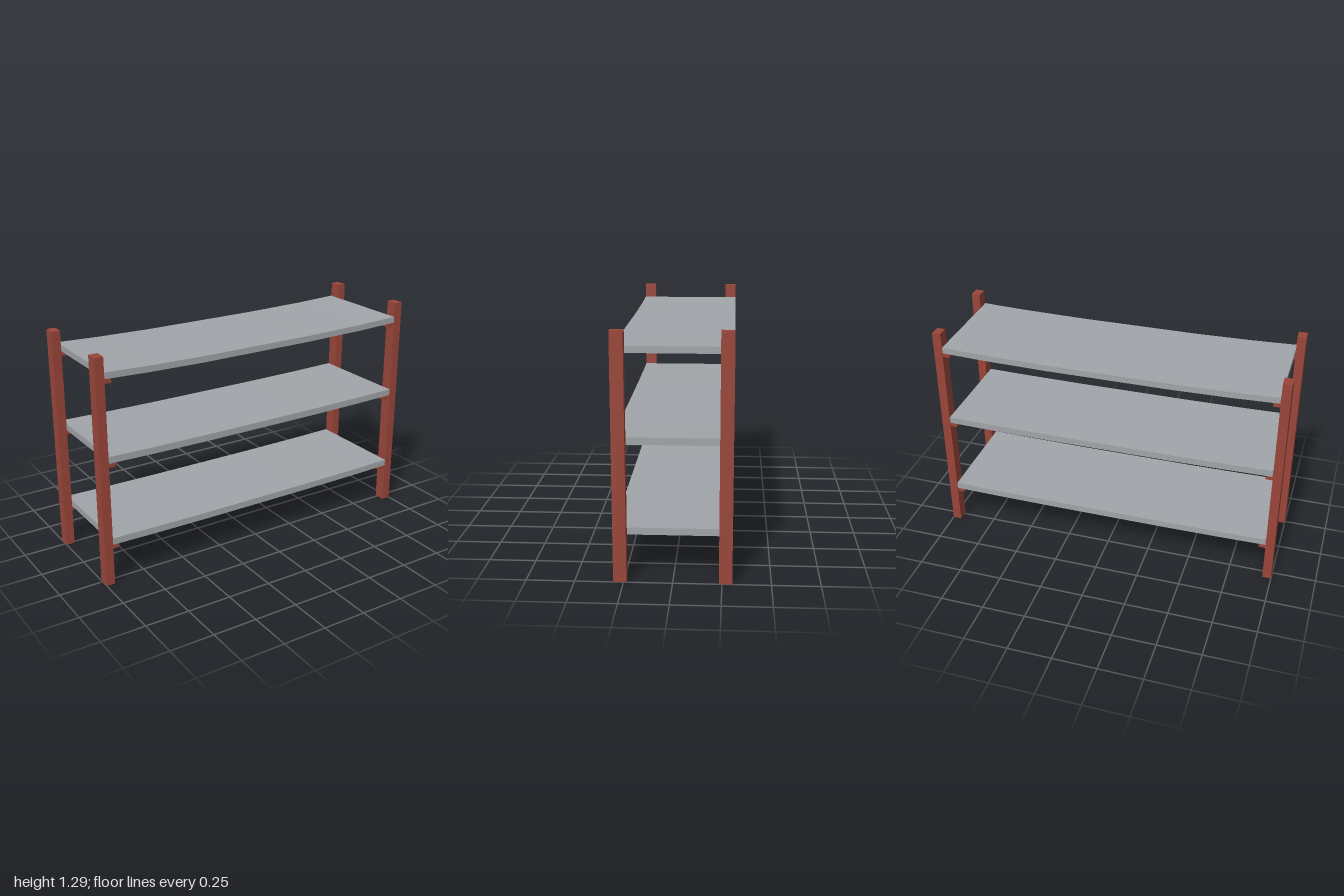
import * as THREE from 'three';

const red = new THREE.MeshStandardMaterial({ color: 0x9a463a });
red.name = 'brick red';
const grey = new THREE.MeshStandardMaterial({ color: 0xa1a5a9 });
grey.name = 'shelf grey';

const DEPTH = 0.605;
const POST_W = 0.05, POST_D = 0.068, POST_H = 1.29;

function box(name, w, h, d, x, y, z) {
  const mesh = new THREE.Mesh(new THREE.BoxGeometry(w, h, d), red);
  mesh.name = name;
  mesh.position.set(x, y, z);
  return mesh;
}

// Board that dips gently towards a flat middle
function makeShelf(name, endBottom, thickness, sag) {
  const profile = [[-0.948, 0], [-0.7, 0.6], [-0.38, 1], [0.32, 1], [0.7, 0.6], [0.948, 0]]
    .map(([x, s]) => new THREE.Vector2(x, endBottom - s * sag));
  const upper = profile.map((p) => new THREE.Vector2(p.x, p.y + thickness)).reverse();
  const geometry = new THREE.ExtrudeGeometry(new THREE.Shape([...profile, ...upper]),
    { depth: DEPTH, bevelEnabled: false });
  geometry.translate(0, 0, -DEPTH / 2);
  const mesh = new THREE.Mesh(geometry, grey);
  mesh.name = name;
  return mesh;
}

export function createModel() {
  const model = new THREE.Group();
  model.name = 'shelvingUnit';

  const shelves = [
    ['lowerShelf', 0.238, 0.038, 0.007],
    ['middleShelf', 0.711, 0.038, 0.008],
    ['upperShelf', 1.172, 0.035, 0.015],
  ];
  for (const shelf of shelves) model.add(makeShelf(...shelf));

  // Corner posts, each with a small support peg under every shelf
  for (const sx of [-1, 1]) {
    for (const sz of [-1, 1]) {
      const corner = (sx > 0 ? 'left' : 'right') + (sz > 0 ? 'Front' : 'Back');
      const z = sz * (DEPTH / 2 - POST_D / 2);
      model.add(box(corner + 'Post', POST_W, POST_H, POST_D, sx * (1 - POST_W / 2), POST_H / 2, z));
      for (const [name, y] of shelves) {
        model.add(box(`${corner}Peg_${name}`, 0.042, 0.028, 0.055, sx * 0.931, y - 0.013, z));
      }
    }
  }
  return model;
}
